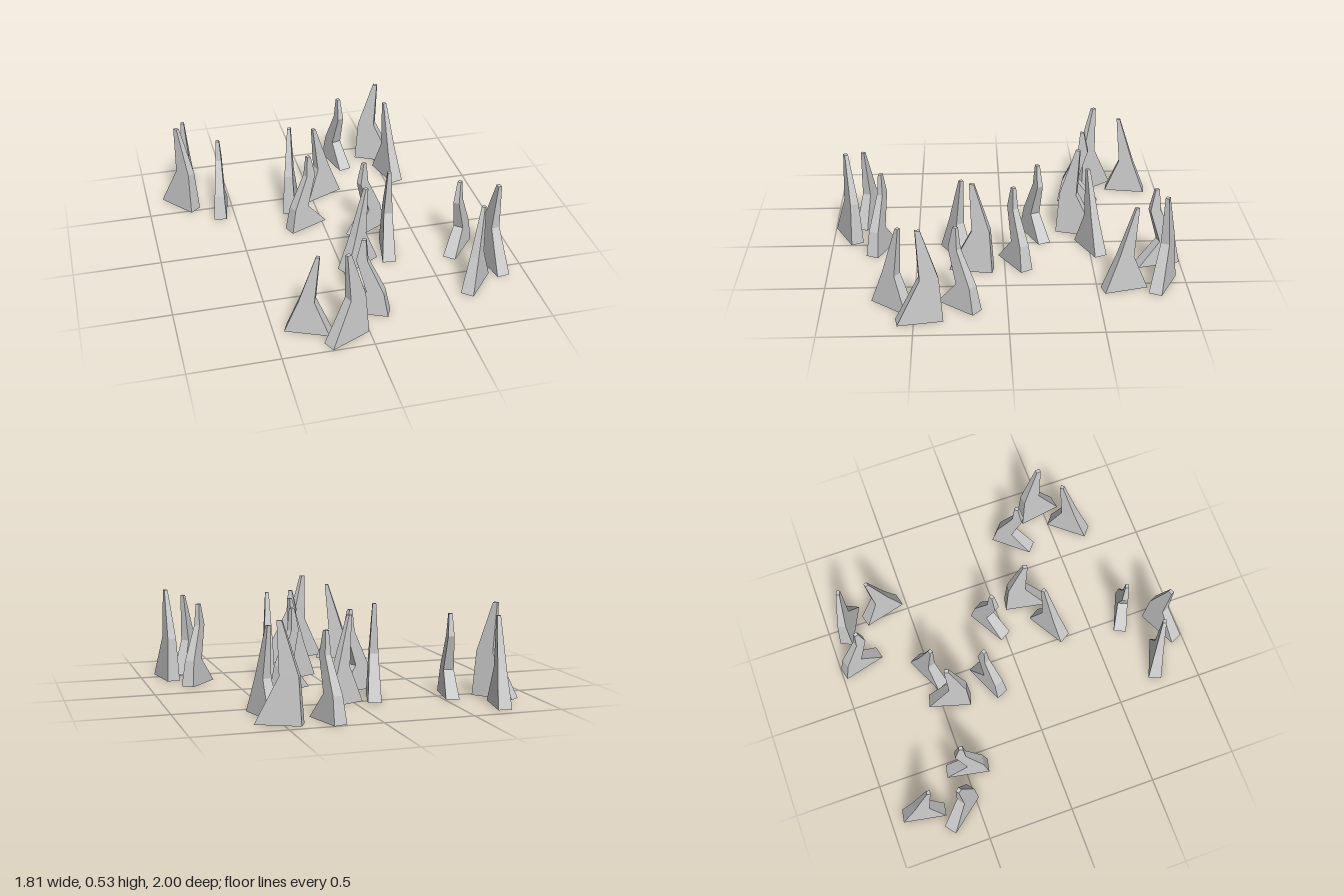
import * as THREE from 'three';

const material = new THREE.MeshStandardMaterial({ color: 0xcccccc, flatShading: true });
const rad = THREE.MathUtils.degToRad;

// Loft a four-sided spike through levels of [height, near end, far end, thickness]
function spikeGeometry(levels) {
  const positions = [];
  const index = [];
  for (const [y, x0, x1, t] of levels) {
    const h = t / 2;
    positions.push(x0, y, -h, x0, y, h, x1, y, h, x1, y, -h);
  }
  for (let l = 0; l < levels.length - 1; l++) {
    for (let i = 0; i < 4; i++) {
      const a = l * 4 + i;
      const b = l * 4 + (i + 1) % 4;
      index.push(a, b, b + 4, a, b + 4, a + 4);
    }
  }
  const n = (levels.length - 1) * 4;
  index.push(n, n + 1, n + 2, n, n + 2, n + 3); // tip
  index.push(0, 2, 1, 0, 3, 2); // underside
  const geometry = new THREE.BufferGeometry();
  geometry.setAttribute('position', new THREE.Float32BufferAttribute(positions, 3));
  geometry.setIndex(index);
  const flat = geometry.toNonIndexed();
  flat.computeVertexNormals();
  return flat;
}

// The three spikes of one cluster: shape, offset (x, z) and turn in degrees
const spikes = [
  {
    name: 'tallSpike', x: 0, z: 0, turn: -57,
    geometry: spikeGeometry([
      [0, -0.123, 0.123, 0.075], [0.25, -0.106, -0.005, 0.05], [0.53, -0.018, 0.008, 0.02],
    ]),
  },
  {
    name: 'leaningSpike', x: 0.217, z: 0, turn: -8,
    geometry: spikeGeometry([
      [0, -0.123, 0.123, 0.075], [0.2, -0.04, 0.045, 0.05], [0.48, -0.066, -0.046, 0.02],
    ]),
  },
  {
    name: 'crookedSpike', x: -0.035, z: 0.255, turn: -7.5,
    geometry: spikeGeometry([
      [0, -0.123, 0.123, 0.075], [0.145, -0.094, 0, 0.058],
      [0.34, 0, 0.06, 0.035], [0.465, 0.01, 0.033, 0.02],
    ]),
  },
];

// Clusters: x, z and turn in degrees
const clusters = [
  [-0.80, -0.60, -71.5],
  [0.515, -0.865, 83.3],
  [-0.14, -0.447, -16.5],
  [0.30, 0.188, 157.6],
  [0.85, 0.47, 137.8],
  [-0.13, 0.91, -148.5],
];

export function createModel() {
  const model = new THREE.Group();
  model.name = 'spikeField';
  for (const [x, z, turn] of clusters) {
    const cluster = new THREE.Group();
    cluster.name = 'spikeCluster';
    cluster.position.set(x, 0, z);
    cluster.rotation.y = -rad(turn);
    for (const s of spikes) {
      const mesh = new THREE.Mesh(s.geometry, material);
      mesh.name = s.name;
      mesh.position.set(s.x, 0, s.z);
      mesh.rotation.y = -rad(s.turn);
      cluster.add(mesh);
    }
    model.add(cluster);
  }
  return model;
}
